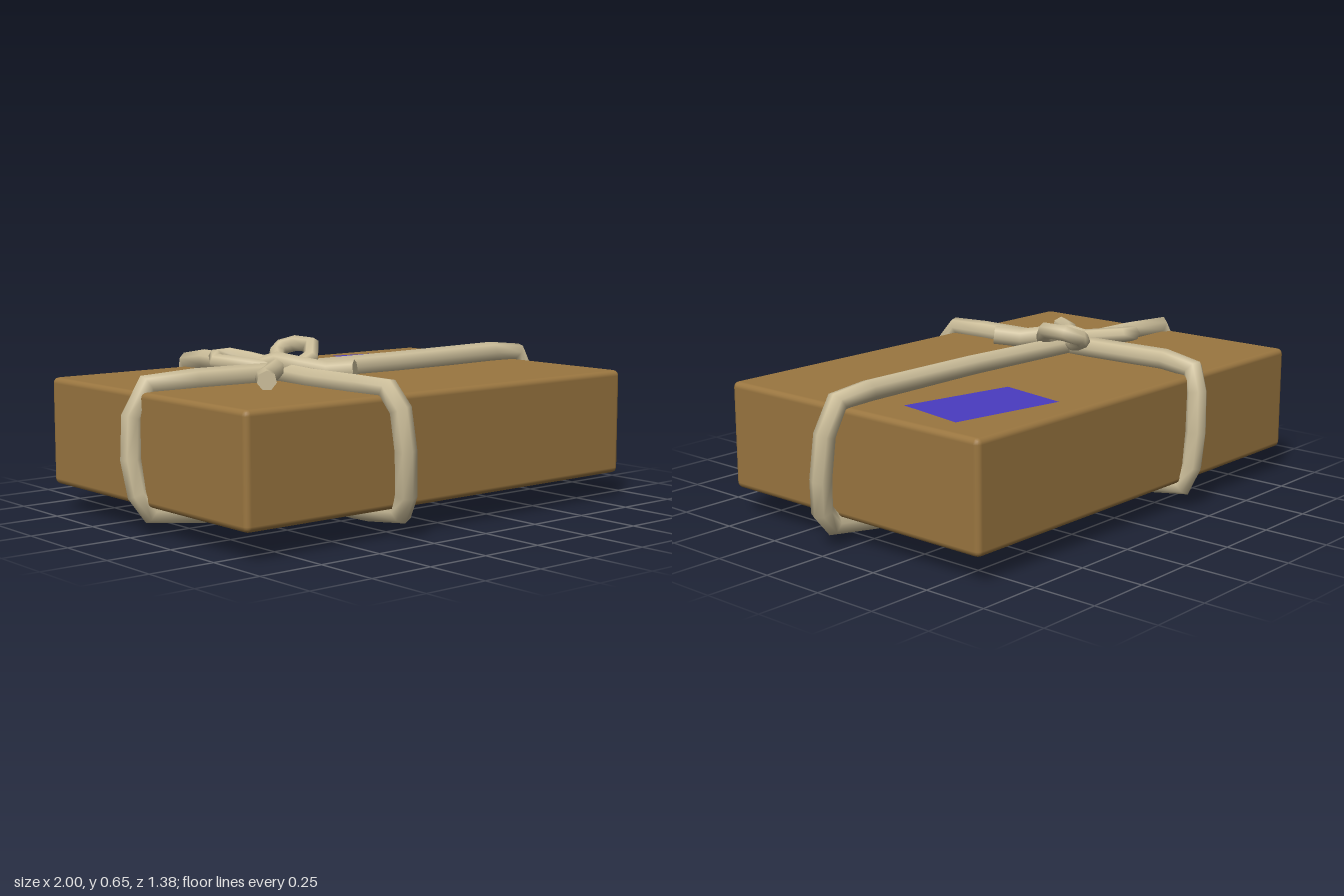
import * as THREE from 'three';
import { RoundedBoxGeometry } from 'three/addons/geometries/RoundedBoxGeometry.js';

const paper = new THREE.MeshStandardMaterial({ color: 0x9a7640 });
const twine = new THREE.MeshStandardMaterial({ color: 0xcdbf9b });
const ink = new THREE.MeshStandardMaterial({ color: 0x4a3cc0, side: THREE.DoubleSide });
const SIDES = 7;

// Low-poly rope with one ring at every given point
function rope(name, points, radius, closed = false) {
  const group = new THREE.Group();
  group.name = name;
  const curve = new THREE.CatmullRomCurve3(points.map(p => new THREE.Vector3(...p)), closed, 'centripetal');
  curve.getPointAt = t => curve.getPoint(t);
  curve.getTangentAt = t => curve.getTangent(t);
  const segments = closed ? points.length : points.length - 1;
  const tube = new THREE.TubeGeometry(curve, segments, radius, SIDES, closed);
  group.add(new THREE.Mesh(tube, twine));
  if (closed) return group;

  // Flat cut ends
  const cut = twine.clone();
  cut.side = THREE.DoubleSide;
  const pos = tube.attributes.position;
  for (const start of [0, segments * (SIDES + 1)]) {
    const corners = [];
    for (let i = 1; i < SIDES - 1; i++) {
      for (const k of [0, i, i + 1]) {
        corners.push(new THREE.Vector3().fromBufferAttribute(pos, start + k));
      }
    }
    const cap = new THREE.BufferGeometry().setFromPoints(corners);
    cap.computeVertexNormals();
    group.add(new THREE.Mesh(cap, cut));
  }
  return group;
}

export function createModel() {
  const model = new THREE.Group();
  model.name = 'parcel';

  // Wrapped box with slightly bevelled edges
  const box = new THREE.Mesh(new RoundedBoxGeometry(1.82, 0.405, 1.22, 2, 0.022), paper);
  box.name = 'box';
  box.position.set(-0.03, 0.307, -0.01);
  model.add(box);

  // Address label, slightly turned
  const outline = [[0.34, 0.51], [0.78, 0.43], [0.73, 0.14], [0.29, 0.23]];
  const labelShape = new THREE.Shape(outline.map(p => new THREE.Vector2(...p)));
  const label = new THREE.Mesh(new THREE.ShapeGeometry(labelShape).rotateX(-Math.PI / 2), ink);
  label.name = 'label';
  label.position.y = 0.514;
  model.add(label);

  // Rope running lengthwise around the box
  model.add(rope('lengthwiseRope', [
    [-0.9, 0.53, -0.03], [-0.7, 0.535, -0.025], [-0.33, 0.535, 0], [0.2, 0.54, 0.025],
    [0.75, 0.545, 0.015], [0.9, 0.535, 0.01], [0.945, 0.42, 0.03], [0.955, 0.26, 0.045],
    [0.94, 0.14, 0.06], [0.89, 0.08, 0.06], [0.68, 0.055, 0.05], [0.22, 0.045, 0.04],
    [-0.3, 0.047, 0.03], [-0.7, 0.06, 0.015], [-0.91, 0.082, 0], [-0.95, 0.15, -0.02],
    [-0.96, 0.27, -0.045], [-0.95, 0.42, -0.05]
  ], 0.041, true));

  // Rope running crosswise around the box
  model.add(rope('crosswiseRope', [
    [-0.325, 0.53, 0.59], [-0.31, 0.46, 0.64], [-0.295, 0.32, 0.65], [-0.28, 0.16, 0.637],
    [-0.27, 0.09, 0.6], [-0.27, 0.073, 0.42], [-0.27, 0.066, 0], [-0.27, 0.073, -0.45],
    [-0.275, 0.09, -0.61], [-0.285, 0.17, -0.64], [-0.295, 0.3, -0.648], [-0.305, 0.45, -0.64],
    [-0.32, 0.53, -0.61], [-0.325, 0.547, -0.48], [-0.33, 0.54, -0.1], [-0.34, 0.53, 0.2],
    [-0.335, 0.53, 0.45]
  ], 0.041, true));

  // Bow: knot, two loops and two loose ends
  const bow = new THREE.Group();
  bow.name = 'bow';
  const knot = new THREE.Mesh(new THREE.SphereGeometry(0.05, 8, 6), twine);
  knot.name = 'knot';
  knot.scale.set(1, 0.8, 1.1);
  knot.position.set(-0.345, 0.55, 0);
  bow.add(
    knot,
    rope('rightLoop', [
      [-0.35, 0.545, 0.01], [-0.42, 0.56, -0.07], [-0.51, 0.575, -0.16], [-0.475, 0.587, -0.21],
      [-0.415, 0.59, -0.205], [-0.385, 0.58, -0.13], [-0.345, 0.56, 0]
    ], 0.031),
    rope('leftLoop', [
      [-0.34, 0.55, 0.01], [-0.28, 0.56, -0.08], [-0.23, 0.59, -0.155], [-0.19, 0.61, -0.175],
      [-0.16, 0.625, -0.13], [-0.16, 0.625, -0.03], [-0.2, 0.585, 0.015], [-0.26, 0.555, 0.01], [-0.34, 0.55, 0]
    ], 0.031),
    rope('rightEnd', [
      [-0.33, 0.56, -0.01], [-0.42, 0.55, 0.065], [-0.52, 0.545, 0.15], [-0.575, 0.545, 0.235]
    ], 0.036),
    rope('leftEnd', [
      [-0.37, 0.56, -0.06], [-0.345, 0.578, 0], [-0.31, 0.565, 0.09], [-0.255, 0.55, 0.18], [-0.195, 0.56, 0.265]
    ], 0.037)
  );
  model.add(bow);
  return model;
}
